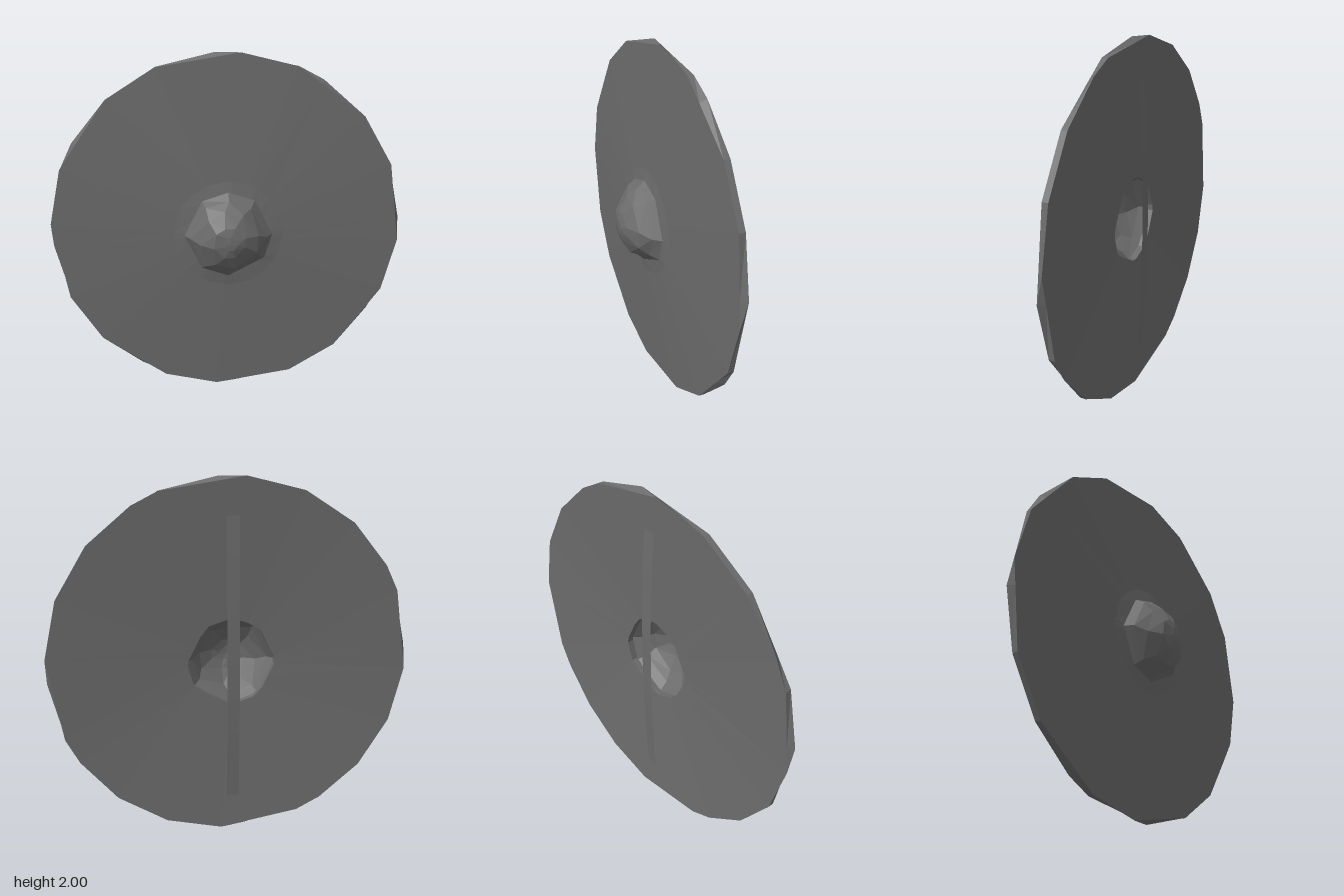
import * as THREE from 'three';

const material = new THREE.MeshStandardMaterial({ color: 0x6b6b6b, flatShading: true, side: THREE.DoubleSide });
const rad = THREE.MathUtils.degToRad;

// Corner angles of the rim (repeats every quarter turn) and of the boss
const rimAngles = [];
for (let q = 0; q < 4; q++) for (const a of [-4, 4, 22.5, 41, 58.5, 67.5]) rimAngles.push(q * 90 + a);
const bossAngles = [0, 54, 90, 126, 180, 232, 270, 326];
const BOSS_R = 0.25;

// Rim radius with the given corners of each quarter cut back
const rimRadius = (...cut) => (a) => (cut.includes((a + 4) % 90 - 4) ? 0.977 : 1);

// Distance from the centre to the boss outline in a given direction
function bossRadius(angle) {
  const a = (angle + 360) % 360;
  for (let i = 0; i < bossAngles.length; i++) {
    const from = bossAngles[i], to = bossAngles[i + 1] ?? 360;
    if (a >= from && a <= to) {
      const half = (to - from) / 2;
      return BOSS_R * Math.cos(rad(half)) / Math.cos(rad(a - from - half));
    }
  }
  return BOSS_R;
}

// Joins rings of [x, y, z] points, listed so that faces point outwards
function loft(rings) {
  const n = rings[0].length, index = [];
  for (let r = 0; r < rings.length - 1; r++) {
    for (let i = 0; i < n; i++) {
      const a = r * n + i, b = r * n + (i + 1) % n;
      index.push(a, b, a + n, b, b + n, a + n);
    }
  }
  const geometry = new THREE.BufferGeometry();
  geometry.setAttribute('position', new THREE.Float32BufferAttribute(rings.flat(2), 3));
  geometry.setIndex(index);
  geometry.computeVertexNormals();
  return geometry;
}

function ring(angles, radius, z) {
  return angles.map((a) => {
    const r = typeof radius === 'function' ? radius(a) : radius;
    return [r * Math.cos(rad(a)), 1 + r * Math.sin(rad(a)), typeof z === 'function' ? z(a) : z];
  });
}

function addMesh(group, name, geometry) {
  const mesh = new THREE.Mesh(geometry, material);
  mesh.name = name;
  group.add(mesh);
}

export function createModel() {
  const group = new THREE.Group();
  group.name = 'roundShield';

  // Board: shallow dish with a faceted rim, open in the middle
  addMesh(group, 'board', loft([
    ring(rimAngles, bossRadius, -0.067),
    ring(rimAngles, rimRadius(-4), -0.11),
    ring(rimAngles, rimRadius(4, 58.5), -0.077),
    ring(rimAngles, 0.31, -0.04),
    ring(rimAngles, bossRadius, -0.03),
    ring(rimAngles, bossRadius, -0.067),
  ]));

  // Hollow boss with a slightly battered surface
  const dent = (a, k) => Math.sin(a * 0.11 + k * 2.3);
  const profile = [[0.213, 0.02], [0.165, 0.07], [0.09, 0.117], [0.04, 0.128], [0, 0.13]];
  addMesh(group, 'boss', loft([
    ring(bossAngles, BOSS_R, -0.03),
    ...profile.map(([r, z], k) => ring(
      bossAngles.map((a) => a + (r ? k * 9 : 0)),
      (a) => r * (1 + 0.03 * dent(a, k)),
      (a) => z - (r ? 0.003 * (1 + dent(a, k + 1)) : 0),
    )),
  ]));

  // Grip: a thin strip bowed away from the back
  const grip = new THREE.PlaneGeometry(0.07, 1.6, 1, 8);
  const p = grip.attributes.position;
  for (let i = 0; i < p.count; i++) {
    const t = p.getY(i) / 0.8;
    p.setXYZ(i, -p.getX(i), p.getY(i) + 1, -0.102 - 0.029 * (1 - t * t));
  }
  grip.computeVertexNormals();
  addMesh(group, 'grip', grip);

  return group;
}
